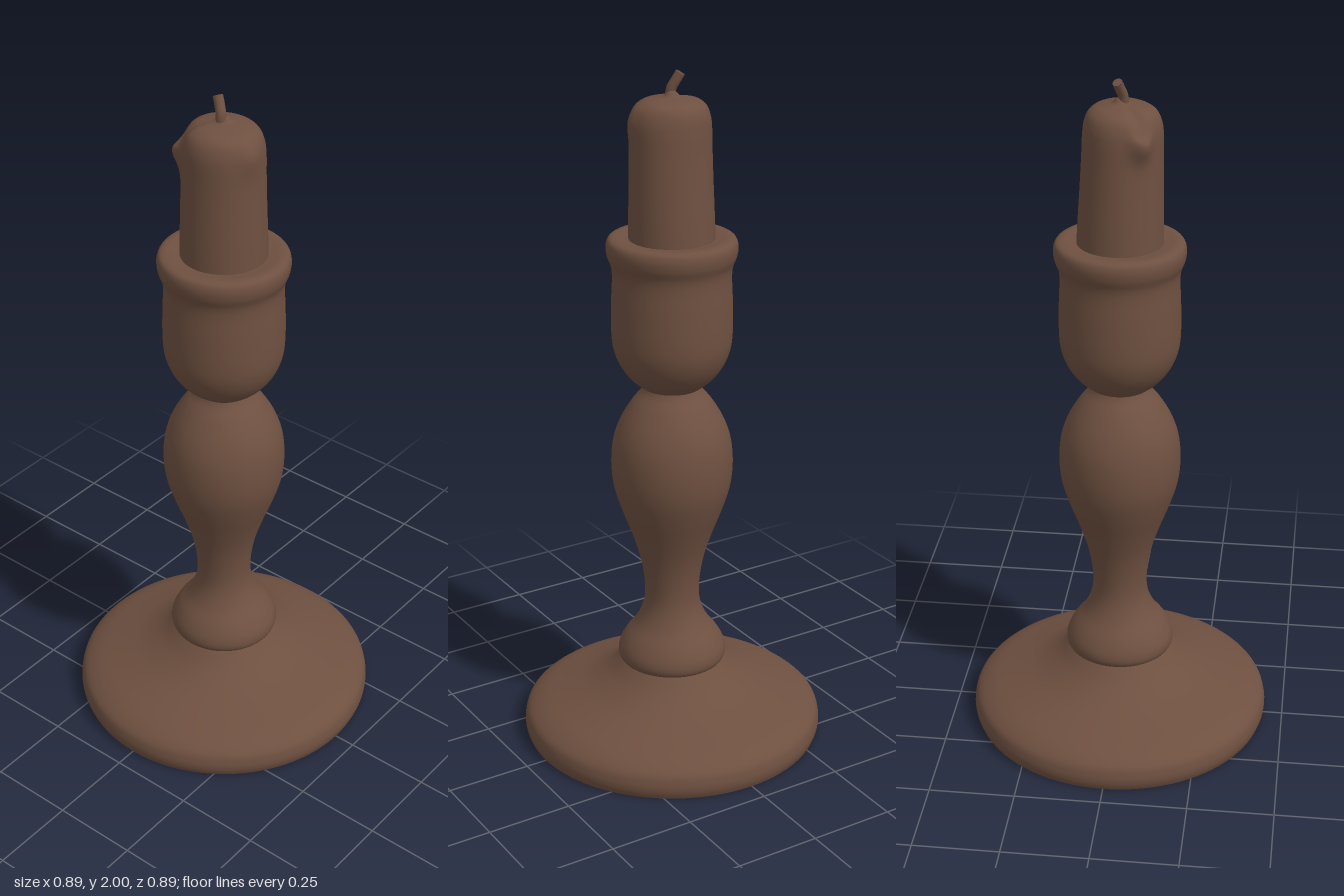
import * as THREE from 'three';
import { mergeVertices } from 'three/addons/utils/BufferGeometryUtils.js';

const SEGMENTS = 96;

// Smooth outline through a few [radius, height] points
function outline(points, divisions) {
  const curve = new THREE.SplineCurve(points.map(([r, y]) => new THREE.Vector2(r, y)));
  return curve.getPoints(divisions).map((p) => new THREE.Vector2(Math.max(p.x, 0), p.y));
}

export function createModel() {
  const group = new THREE.Group();
  const brown = new THREE.MeshStandardMaterial({ color: 0x6e5040 });
  brown.name = 'warmBrown';

  function add(name, geometry) {
    const mesh = new THREE.Mesh(geometry, brown);
    mesh.name = name;
    group.add(mesh);
    return mesh;
  }
  const turned = (name, points, divisions) =>
    add(name, new THREE.LatheGeometry(outline(points, divisions), SEGMENTS));

  // Flat underside and wide sloping foot
  add('underside', new THREE.CircleGeometry(0.437, SEGMENTS)).rotation.x = Math.PI / 2;
  turned('foot', [
    [0.437, 0], [0.444, 0.02], [0.444, 0.045], [0.432, 0.075], [0.39, 0.103],
    [0.32, 0.128], [0.25, 0.155], [0.19, 0.192], [0.15, 0.232],
  ], 40);

  // Collar flowing into the vase-shaped stem
  turned('stem', [
    [0.14, 0.229], [0.153, 0.234], [0.16, 0.252], [0.156, 0.278], [0.138, 0.312],
    [0.108, 0.352], [0.088, 0.395], [0.08, 0.44], [0.083, 0.5], [0.096, 0.57],
    [0.12, 0.645], [0.148, 0.72], [0.169, 0.79], [0.176, 0.86], [0.17, 0.93],
    [0.15, 0.99], [0.118, 1.045], [0.09, 1.08], [0.08, 1.1],
  ], 90);

  // Candle cup with a rolled rim
  turned('cup', [
    [0.075, 1.092], [0.09, 1.1], [0.122, 1.128], [0.15, 1.168], [0.167, 1.215],
    [0.172, 1.27], [0.171, 1.35], [0.168, 1.42], [0.171, 1.455], [0.182, 1.485],
    [0.185, 1.512], [0.178, 1.532], [0.16, 1.538], [0.13, 1.535], [0.09, 1.53],
  ], 80);

  // Candle, worn thinner at the back, with two wax drips at its upper edge
  const candle = new THREE.LatheGeometry(outline([
    [0.122, 1.5], [0.121, 1.6], [0.119, 1.7], [0.118, 1.78], [0.118, 1.84],
    [0.114, 1.875], [0.102, 1.903], [0.08, 1.919], [0.05, 1.926],
    [0.025, 1.931], [0.012, 1.942], [0, 1.946],
  ], 80), SEGMENTS);
  const drips = [
    { angle: Math.atan2(0.08, -0.115), spread: 0.24, y: 1.845, size: 0.024, sag: 0.022 },
    { angle: Math.atan2(0.03, 0.12), spread: 0.25, y: 1.865, size: 0.008, sag: 0 },
  ];
  const pos = candle.attributes.position;
  for (let i = 0; i < pos.count; i++) {
    let x = pos.getX(i), y = pos.getY(i), z = pos.getZ(i);
    const r = Math.hypot(x, z), a = Math.atan2(z, x);
    const t = Math.min((y - 1.5) / 0.35, 1);
    let scale = 1, sink = 0;
    for (const d of drips) {
      const da = Math.atan2(Math.sin(a - d.angle), Math.cos(a - d.angle));
      const near = Math.exp(-((da / d.spread) ** 2));
      scale += (d.size / 0.118) * near * Math.exp(-(((y - d.y) / 0.045) ** 2));
      sink += d.sag * near * Math.min(r / 0.11, 1) ** 2 * THREE.MathUtils.smoothstep(y, 1.84, 1.9);
    }
    x *= scale;
    z *= scale;
    if (z < 0) z *= 1 - 0.14 * t;
    if (x < 0) x *= 1 - 0.05 * t;
    pos.setXYZ(i, x, y - sink, z);
  }
  candle.deleteAttribute('uv');
  candle.deleteAttribute('normal');
  const wax = mergeVertices(candle, 1e-5);
  wax.computeVertexNormals();
  add('candle', wax);

  // Bent wick with a closed tip
  const wickPath = new THREE.CatmullRomCurve3([
    new THREE.Vector3(0, 1.92, 0.012), new THREE.Vector3(-0.003, 1.95, 0.009),
    new THREE.Vector3(-0.013, 1.972, 0.002), new THREE.Vector3(-0.024, 1.993, -0.004),
  ]);
  add('wick', new THREE.TubeGeometry(wickPath, 12, 0.014, 10));
  const tip = add('wickTip', new THREE.CircleGeometry(0.014, 10));
  tip.position.copy(wickPath.getPoint(1));
  tip.lookAt(wickPath.getPoint(1).add(wickPath.getTangent(1)));

  return group;
}
